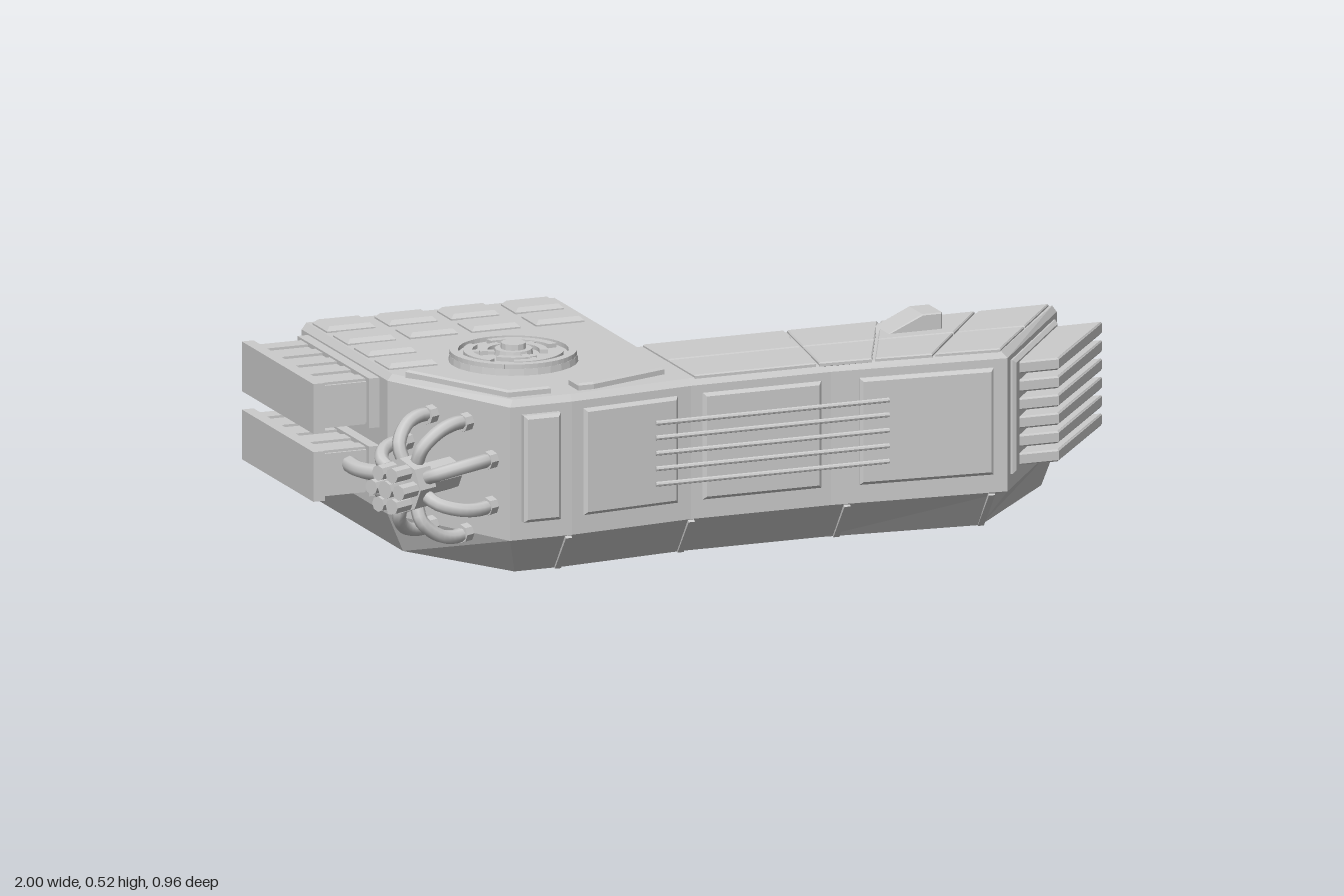
import * as THREE from 'three';

const mat = new THREE.MeshStandardMaterial({ color: 0xcccccc, flatShading: true });
const smooth = new THREE.MeshStandardMaterial({ color: 0xcccccc });

function add(parent, name, geo, x = 0, y = 0, z = 0, m = mat) {
  const mesh = new THREE.Mesh(geo, m);
  mesh.name = name;
  mesh.position.set(x, y, z);
  parent.add(mesh);
  return mesh;
}
function group(parent, name, x = 0, y = 0, z = 0) {
  const g = new THREE.Group();
  g.name = name;
  g.position.set(x, y, z);
  parent.add(g);
  return g;
}
const box = (w, h, d) => new THREE.BoxGeometry(w, h, d);
const shapeOf = pts => new THREE.Shape(pts.map(p => new THREE.Vector2(p[0], p[1])));
const extrude = (shape, depth, bevel = 0) => new THREE.ExtrudeGeometry(shape, {
  depth: depth - bevel, bevelEnabled: bevel > 0, bevelThickness: bevel, bevelSize: bevel,
  bevelOffset: -bevel, bevelSegments: 1, curveSegments: 8 });
// Horizontal plate from [x, z] corners, rising h above its base
const plate = (pts, h, bevel = 0.005) => extrude(shapeOf(pts.map(p => [p[0], -p[1]])), h, bevel).rotateX(-Math.PI / 2);

// Closed solid through stacked rings of [x, z] corners
function loft(rings, ys) {
  const pos = [], n = rings[0].length;
  const v = (k, i) => pos.push(rings[k][i % n][0], ys[k], rings[k][i % n][1]);
  for (let k = 0; k + 1 < rings.length; k++) for (let i = 0; i < n; i++) {
    v(k, i); v(k + 1, i); v(k, i + 1);
    v(k, i + 1); v(k + 1, i); v(k + 1, i + 1);
  }
  for (const k of [0, rings.length - 1]) {
    const r = rings[k];
    for (const [a, b, c] of THREE.ShapeUtils.triangulateShape(r.map(p => new THREE.Vector2(...p)), [])) {
      const up = (r[b][1] - r[a][1]) * (r[c][0] - r[a][0]) - (r[b][0] - r[a][0]) * (r[c][1] - r[a][1]) > 0;
      (up === (k > 0) ? [a, b, c] : [a, c, b]).forEach(i => v(k, i));
    }
  }
  const g = new THREE.BufferGeometry();
  g.setAttribute('position', new THREE.Float32BufferAttribute(pos, 3));
  g.computeVertexNormals();
  return g;
}

// Group on a wall from a to b: local x runs along it, local z points outward
function wall(parent, name, a, b) {
  const g = group(parent, name, a[0], 0, a[1]);
  g.rotation.y = Math.atan2(a[1] - b[1], b[0] - a[0]);
  g.userData.length = Math.hypot(b[0] - a[0], b[1] - a[1]);
  return g;
}
function panel(parent, name, x0, x1, y0, y1, depth) {
  return add(parent, name, extrude(shapeOf([[x0, y0], [x1, y0], [x1, y1], [x0, y1]]), depth + 0.01, 0.008), 0, 0, -0.01);
}

// Arc-shaped bar lying flat, rising along +y
function arcBar(r0, r1, a0, a1, h) {
  const s = new THREE.Shape();
  s.absarc(0, 0, r1, a0, a1, false);
  s.absarc(0, 0, r0, a1, a0, true);
  return extrude(s, h).rotateX(-Math.PI / 2);
}
function fan(parent, name, x, y, z) {
  const g = group(parent, name, x, y, z);
  add(g, 'fanBase', new THREE.CylinderGeometry(0.153, 0.155, 0.016, 28), 0, 0.008);
  for (let i = 0; i < 3; i++) {
    const a = i * Math.PI * 2 / 3;
    add(g, 'fanRim', arcBar(0.132, 0.152, a, a + 2.094, 0.027));
    add(g, 'fanOuterArc', arcBar(0.098, 0.12, a + 0.15, a + 1.75, 0.026));
    add(g, 'fanInnerArc', arcBar(0.062, 0.082, a - 0.4, a + 0.9, 0.026));
    add(g, 'fanSpoke', box(0.1, 0.02, 0.018).translate(0.07, 0.014, 0)).rotation.y = a + 0.7;
  }
  add(g, 'fanCollar', new THREE.CylinderGeometry(0.045, 0.05, 0.03, 16), 0, 0.015);
  add(g, 'fanHub', new THREE.CylinderGeometry(0.03, 0.032, 0.044, 12), 0, 0.022);
  return g;
}

export function createModel() {
  const root = new THREE.Group();
  root.name = 'shipModule';

  // Main hull: block plus long front arm, chamfered along its lower edge
  const plan = [[-0.83, -0.44], [-0.18, -0.44], [-0.18, 0.08], [0.9, 0.08], [0.62, 0.455], [0.18, 0.42],
    [-0.18, 0.42], [-0.5, 0.455], [-0.66, 0.455], [-0.83, 0.1]];
  const inset = (dx, dz) => plan.map(([x, z]) => [x < -0.6 ? x + dx : x > 0.6 ? x - dx : x, z > 0.3 ? z - dz : z]);
  add(root, 'hull', loft([inset(0.04, 0.07), plan, plan, inset(0.012, 0.012)], [0.04, 0.135, 0.462, 0.478]));

  // Armour plates on top of the arm, in two slanted rows
  const cuts = [[-0.17, -0.17], [0.2, 0.15], [0.44, 0.29], [0.69, 0.44], [0.88, 0.61]];
  const frontZ = x => 0.41 + Math.max(0, x - 0.18) * 0.08;
  for (let i = 0; i < 4; i++) for (const [v0, v1] of [[0, 0.49], [0.51, 1]]) {
    const at = (c, v, s) => {
      const x = c[0] + (c[1] - c[0]) * v + s * 0.004;
      return [x, 0.085 + (frontZ(c[1]) - 0.085) * v];
    };
    add(root, 'armTopPlate', plate([at(cuts[i], v0, 1), at(cuts[i + 1], v0, -1), at(cuts[i + 1], v1, -1), at(cuts[i], v1, 1)], 0.01, 0.003), 0, 0.475);
  }
  // Angled plates, square tiles and fan on the block roof
  add(root, 'roofCornerPlate', plate([[-0.8, 0.14], [-0.76, 0.12], [-0.54, 0.36], [-0.54, 0.42], [-0.65, 0.42]], 0.02), 0, 0.475);
  add(root, 'roofCentrePlate', plate([[-0.47, 0.42], [-0.47, 0.36], [-0.28, 0.12], [-0.22, 0.12], [-0.22, 0.35], [-0.43, 0.42]], 0.02), 0, 0.475);
  const tile = [[-0.062, -0.046], [0.062, -0.046], [0.062, 0.046], [-0.062, 0.046]];
  const spots = [[-0.75, -0.11], [-0.75, 0.02]];
  for (const z of [-0.37, -0.24]) for (const x of [-0.75, -0.59, -0.43, -0.265]) spots.push([x, z]);
  for (const [x, z] of spots) add(root, 'roofTile', plate(tile, 0.016, 0.01), x, 0.476, z);
  fan(root, 'roofFan', -0.5, 0.478, 0.085);

  // Wedge-shaped sensor housing on the arm
  add(root, 'sensorHousing', extrude(shapeOf([[0.38, 0.47], [0.55, 0.47], [0.55, 0.525], [0.5, 0.525]]), 0.085, 0.003), 0, 0, 0.13);

  // Front wall panels, following the bent front
  const fronts = [[8, 7, 0.03, 0.125, 0.022], [7, 6, 0.03, 0.285, 0.01], [6, 5, 0.03, 0.335, 0.008], [5, 4, 0.07, 0.405, 0.012]];
  for (const [a, b, x0, x1, d] of fronts) panel(wall(root, 'frontWall', plan[a], plan[b]), 'frontPanel', x0, x1, 0.18, 0.442, d);
  for (const y of [0.235, 0.273, 0.311, 0.349, 0.385])
    add(root, 'frontRod', new THREE.CylinderGeometry(0.006, 0.006, 0.6, 8).rotateZ(Math.PI / 2), 0.02, y, 0.443);
  for (const [x, z] of [[-0.51, 0.42], [-0.18, 0.385], [0.22, 0.387], [0.58, 0.415]])
    add(root, 'chamferRib', box(0.016, 0.115, 0.012), x, 0.087, z).rotation.x = 0.66;

  // Radiator fins on the slanted arm end
  const end = wall(root, 'radiatorWall', plan[4], plan[3]);
  panel(end, 'radiatorBase', 0.03, end.userData.length - 0.03, 0.17, 0.45, 0.012);
  for (let i = 0; i < 6; i++)
    add(root, 'radiatorFin', plate([[0.64, 0.41], [0.77, 0.41], [1, 0.12], [0.86, 0.12]], 0.026, 0.004), 0, 0.187 + i * 0.045);

  // Back wall of the arm: framed recess and fan
  const frame = shapeOf([[-0.05, 0.14], [0.38, 0.14], [0.38, 0.445], [-0.05, 0.445]]);
  frame.holes.push(shapeOf([[-0.025, 0.165], [0.355, 0.165], [0.355, 0.42], [-0.025, 0.42]]));
  add(root, 'armBackFrame', extrude(frame, 0.025, 0.004), 0, 0, 0.062);
  add(root, 'armBackPanel', box(0.35, 0.225, 0.02), 0.165, 0.292, 0.08);
  fan(root, 'armBackFan', 0.65, 0.26, 0.08).rotation.x = -Math.PI / 2;
  fan(root, 'blockBackFan', -0.595, 0.26, -0.438).rotation.x = -Math.PI / 2;

  // Low wing beside the block: core with four grooved cover strips
  const taper = geo => {
    const p = geo.attributes.position;
    for (let i = 0; i < p.count; i++) {
      const x = Math.max(0, p.getX(i)), z = p.getZ(i);
      p.setZ(i, z + (0.08 - z) / 0.52 * 0.04 * x / 0.29);
    }
    geo.computeVertexNormals();
    return geo;
  };
  const core = [[-0.2, 0.04], [0.255, 0.04], [0.278, 0.122], [0, 0.162], [-0.04, 0.17], [-0.19, 0.43], [-0.2, 0.43]];
  add(root, 'wingCore', taper(extrude(shapeOf(core), 0.52)), 0, 0, -0.44);
  const strip = [[0, 0.1], [0.1, 0.05], [0.262, 0.05], [0.29, 0.13], [0, 0.172]];
  for (const [z0, z1] of [[-0.438, -0.3], [-0.288, -0.178], [-0.166, -0.056], [-0.044, 0.078]])
    add(root, 'wingStrip', taper(extrude(shapeOf(strip), z1 - z0, 0.004).translate(0, 0, z0)));

  // Sloped vent between roof and wing: frame and upright slats
  const slope = group(root, 'sideVent', -0.18, 0.478, 0);
  slope.rotation.z = Math.atan2(-0.308, 0.18);
  for (const x of [0.02, 0.34]) add(slope, 'ventRail', box(0.04, 0.045, 0.52), x, -0.0225, -0.18);
  add(slope, 'ventPost', box(0.357, 0.045, 0.04), 0.1785, -0.0225, -0.42);
  add(slope, 'ventPost', box(0.357, 0.045, 0.03), 0.1785, -0.0225, 0.065);
  for (let i = 0; i < 18; i++) add(slope, 'ventSlat', box(0.3, 0.025, 0.013), 0.18, -0.022, -0.385 + i * 0.0251);

  // Back vent: trapezoid frame with slats, and two slits beneath it
  const vent = shapeOf([[-0.42, 0.17], [-0.01, 0.17], [-0.17, 0.45], [-0.39, 0.45]]);
  vent.holes.push(shapeOf([[-0.365, 0.21], [-0.09, 0.21], [-0.2, 0.41], [-0.345, 0.41]]));
  add(root, 'backVentFrame', extrude(vent, 0.03, 0.012), 0, 0, -0.446);
  for (let i = 0; i < 9; i++) {
    const x = -0.343 + i * 0.029, top = Math.min(0.41, 0.21 + (-0.09 - x) / 0.11 * 0.2);
    add(root, 'backVentSlat', box(0.014, top - 0.21, 0.02), x, (top + 0.21) / 2, -0.441);
  }
  for (const y of [0.1, 0.135]) add(root, 'backSlit', box(0.25, 0.008, 0.01), -0.18, y, -0.441);

  // Two banded power cells on the outer side
  for (const y of [0.23, 0.397]) {
    const cell = group(root, 'powerCell', -0.83, y, -0.175);
    add(cell, 'cellBody', box(0.15, 0.1, 0.42), -0.075, 0, 0);
    add(cell, 'cellOuterPlate', box(0.03, 0.122, 0.45), -0.155, 0, 0);
    add(cell, 'cellMount', box(0.03, 0.122, 0.45), -0.012, 0, 0);
    for (let i = 0; i < 5; i++) add(cell, 'cellBand', box(0.12, 0.112, 0.045), -0.085, 0, -0.18 + i * 0.09);
  }

  // Coupling on the slanted corner: hub, plugs and looping pipes
  const corner = wall(root, 'couplingWall', plan[9], plan[8]);
  const hub = group(corner, 'coupling', 0.2, 0.27, 0);
  const tube = (name, parent, pts, r) => add(parent, name,
    new THREE.TubeGeometry(new THREE.CatmullRomCurve3(pts.map(p => new THREE.Vector3(...p))), 14, r, 8), 0, 0, 0, smooth);
  const rod = (r, l, n) => new THREE.CylinderGeometry(r, r, l, n).rotateX(Math.PI / 2);
  add(hub, 'hubStem', rod(0.04, 0.14, 8), 0, 0, 0.06);
  add(hub, 'hubBody', rod(0.068, 0.055, 8), 0, 0, 0.15);
  add(hub, 'hubPlug', rod(0.022, 0.06, 8), 0, 0, 0.2);
  for (let i = 0; i < 6; i++) {
    const a = i * Math.PI / 3;
    add(hub, 'hubPlug', rod(0.019, 0.06, 8), Math.cos(a) * 0.044, Math.sin(a) * 0.044, 0.2);
  }
  for (let i = 0; i < 8; i++) {
    const a = (i + 0.5) * Math.PI / 4, c = Math.cos(a), s = Math.sin(a);
    const pt = (r, z) => [c * r, s * r, z];
    tube('couplingPipe', hub, [pt(0.05, 0.14), pt(0.095, 0.14), pt(0.135, 0.1), pt(0.15, 0.05), pt(0.145, -0.02)], 0.017);
    add(hub, 'pipeCollar', rod(0.023, 0.025, 8), c * 0.147, s * 0.147, 0.012);
  }
  tube('cellPipe', root, [[-0.9, 0.25, 0.0], [-0.9, 0.25, 0.1], [-0.87, 0.26, 0.2], [-0.84, 0.27, 0.28]], 0.02);

  // Round mount under the hull
  add(root, 'baseRing', new THREE.LatheGeometry([[0, 0.012], [0.11, 0.012], [0.118, 0], [0.176, 0], [0.183, 0.008], [0.183, 0.05]]
    .map(p => new THREE.Vector2(...p)), 24), -0.15, 0, -0.07);

  return root;
}
